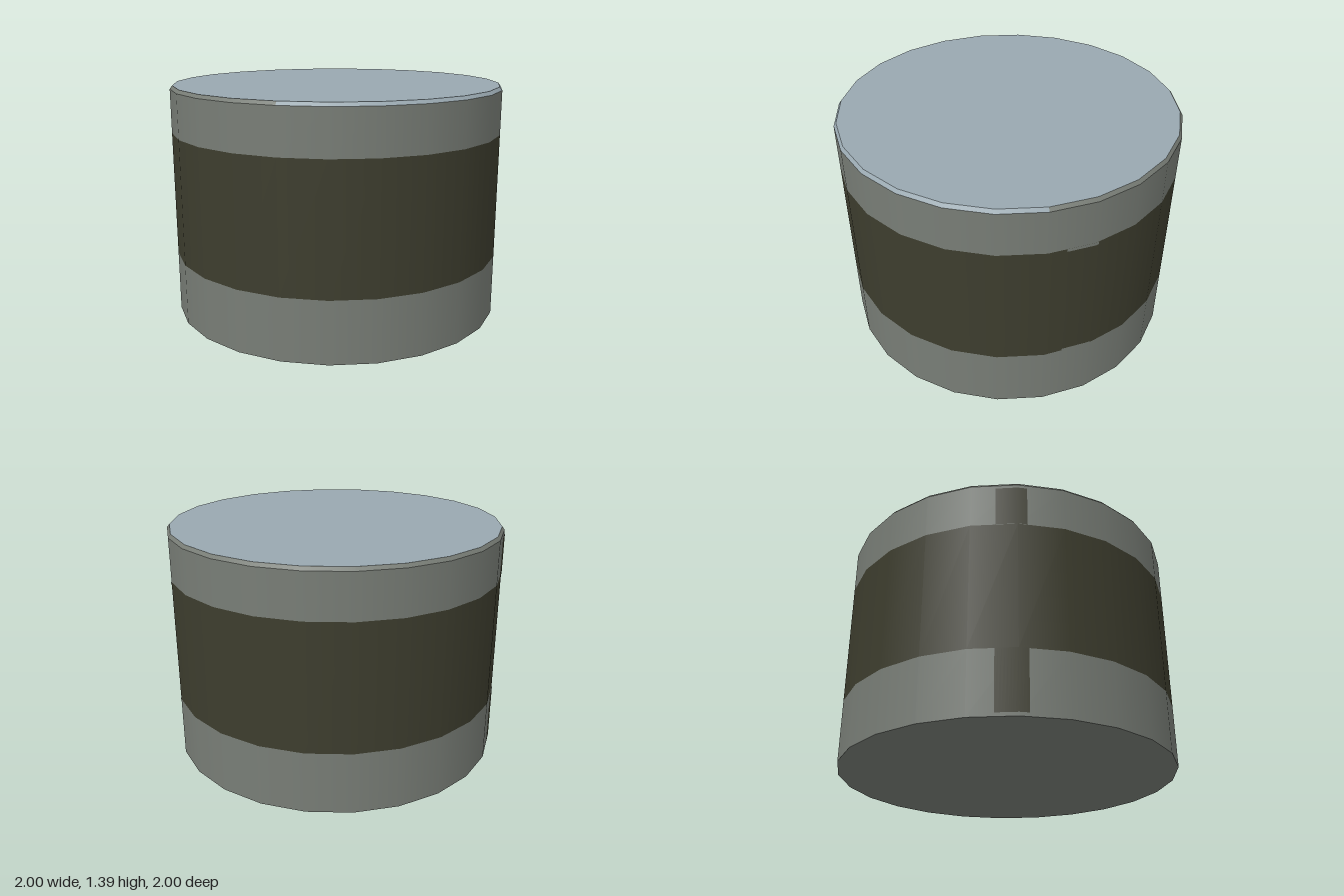
import * as THREE from 'three';

const SIDES = 24;
const HEIGHT = 1.39;
const BEVEL_Y = 1.37;
const TOP_R = 0.985;
const STEP = (Math.PI * 2) / SIDES;
const RAD = Math.PI / 180;

export function createModel() {
  const model = new THREE.Group();
  model.name = 'drum';

  const material = (name, color) => {
    const m = new THREE.MeshStandardMaterial({ color });
    m.name = name;
    return m;
  };
  const grey = material('greyMetal', 0x787d76);
  const olive = material('darkOlive', 0x3d3d2e);
  const pale = material('paleBlueGrey', 0x99a8b0);

  const add = (name, geometry, mat) => {
    const mesh = new THREE.Mesh(geometry, mat);
    mesh.name = name;
    model.add(mesh);
    return mesh;
  };

  // Open ring of wall between two heights
  const ring = (name, y0, y1, mat, rTop = 1, start = 0, sides = SIDES) => {
    const g = new THREE.CylinderGeometry(rTop, 1, y1 - y0, sides, 1, true, start * STEP, sides * STEP);
    g.translate(0, (y0 + y1) / 2, 0);
    return add(name, g, mat);
  };

  // Thin painted patch that follows the flat sides of the wall (angles in degrees from the front)
  const patch = (name, a0, a1, y0, y1, mat) => {
    const g = new THREE.CylinderGeometry(1, 1, y1 - y0, a1 - a0, 1, true, a0 * RAD, (a1 - a0) * RAD);
    const p = g.attributes.position;
    for (let i = 0; i < p.count; i++) {
      const a = Math.atan2(p.getX(i), p.getZ(i)) + Math.PI * 2;
      const r = 1.003 * Math.cos(STEP / 2) / Math.cos((a % STEP) - STEP / 2);
      p.setXYZ(i, r * Math.sin(a), p.getY(i), r * Math.cos(a));
    }
    g.translate(0, (y0 + y1) / 2, 0);
    return add(name, g, mat);
  };

  // Wall in three bands
  ring('lowerBand', 0, 0.365, grey);
  ring('middleBand', 0.365, 1.11, olive);
  ring('upperBand', 1.11, BEVEL_Y, grey);

  // Bevelled rim, pale along the front
  ring('rimFront', BEVEL_Y, HEIGHT, pale, TOP_R, -1, 8);
  ring('rimBack', BEVEL_Y, HEIGHT, grey, TOP_R, 7, 16);

  // Flat top and base
  const disc = (name, r, y, turn, mat) => {
    const g = new THREE.CircleGeometry(r, SIDES);
    g.rotateX(turn);
    g.translate(0, y, 0);
    add(name, g, mat);
  };
  disc('top', TOP_R, HEIGHT, -Math.PI / 2, pale);
  disc('base', 1, 0, Math.PI / 2, grey);

  // Dark seam marks on one side
  patch('upperSeamMark', 263, 273, 1.11, 1.35, olive);
  patch('lowerSeamMark', 263, 273, 0.02, 0.365, olive);

  // Small grey nicks in the edges of the middle band
  patch('upperNick', 111, 121, 1.095, 1.112, grey);
  patch('lowerNick', 111, 121, 0.363, 0.38, grey);

  return model;
}
